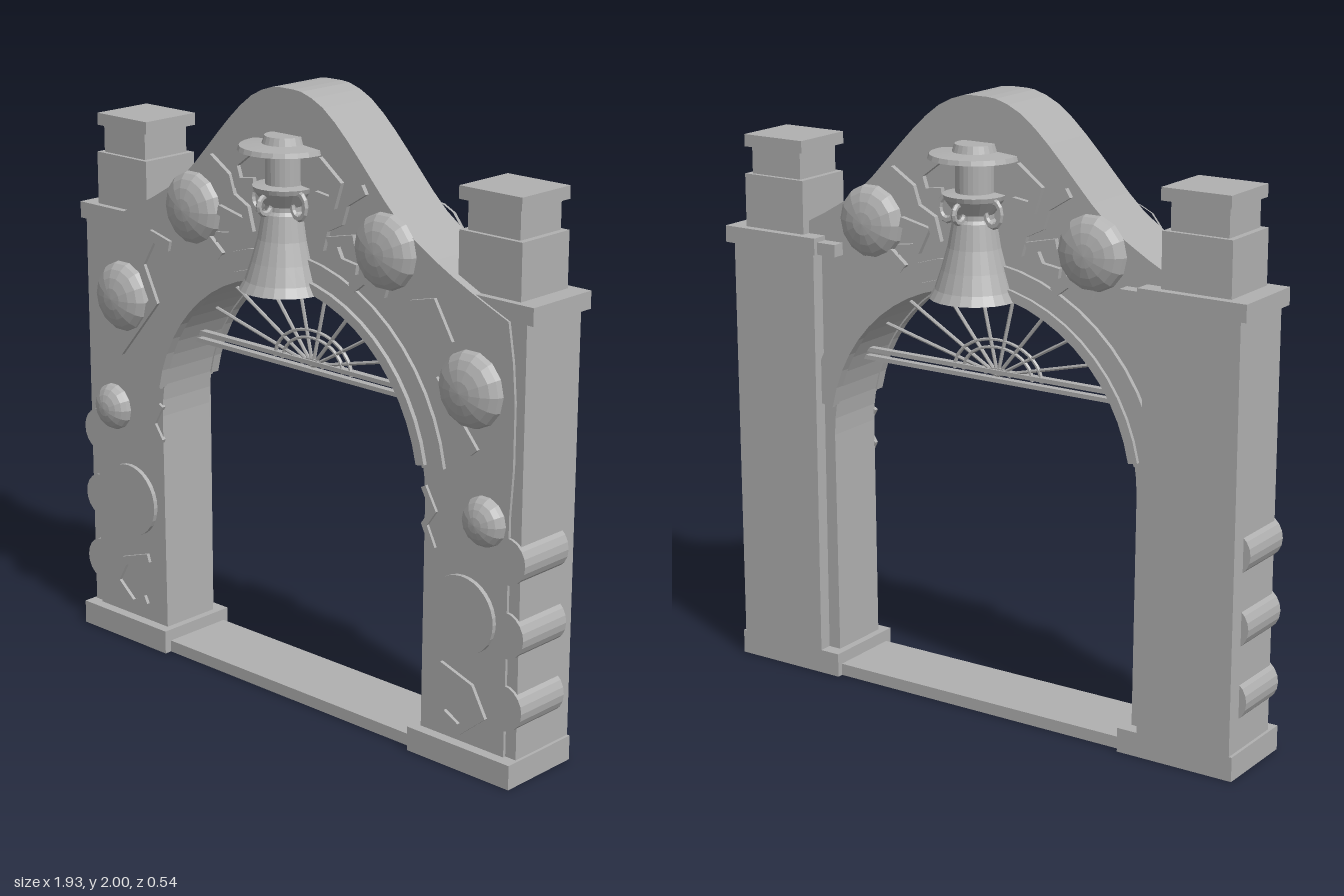
import * as THREE from 'three';

const stone = new THREE.MeshStandardMaterial({ color: 0xb0b0b0, flatShading: true });
stone.name = 'grey stone';

const ARCH_Y = 0.83;
const ARCH_R = 0.575;

export function createModel() {
  const group = new THREE.Group();

  const add = (name, geo, x = 0, y = 0, z = 0) => {
    const m = new THREE.Mesh(geo, stone);
    m.name = name;
    m.position.set(x, y, z);
    group.add(m);
    return m;
  };
  // Box given by its limits
  const box = (name, x0, x1, y0, y1, z0, z1) =>
    add(name, new THREE.BoxGeometry(Math.abs(x1 - x0), y1 - y0, z1 - z0), (x0 + x1) / 2, (y0 + y1) / 2, (z0 + z1) / 2);
  // Flat shape extruded between two depths
  const slab = (name, shape, z0, z1) =>
    add(name, new THREE.ExtrudeGeometry(shape, { depth: z1 - z0, bevelEnabled: false }), 0, 0, z0);
  const toShape = pts => new THREE.Shape(pts.map(p => new THREE.Vector2(p[0], p[1])));
  // Angular scroll: a ribbon of constant width with mitred corners
  const ribbon = (pts, w) => {
    const v = pts.map(p => new THREE.Vector2(p[0], p[1]));
    const left = [], right = [];
    v.forEach((p, i) => {
      const a = p.clone().sub(v[Math.max(i - 1, 0)]).normalize();
      const b = v[Math.min(i + 1, v.length - 1)].clone().sub(p).normalize();
      const t = a.clone().add(b).normalize();
      const n = new THREE.Vector2(-t.y, t.x);
      const ref = i === 0 ? b : a;
      const k = w / 2 / Math.max(0.55, n.dot(new THREE.Vector2(-ref.y, ref.x)));
      left.push(p.clone().addScaledVector(n, k));
      right.unshift(p.clone().addScaledVector(n, -k));
    });
    return new THREE.Shape([...left, ...right]);
  };
  // Arched band between two radii
  const band = (r0, r1, angle) => {
    const s = new THREE.Shape();
    s.absarc(0, ARCH_Y, r1, angle, Math.PI - angle, false);
    s.absarc(0, ARCH_Y, r0, Math.PI - angle, angle, true);
    return s;
  };
  const rod = (name, a, b, r) => {
    const d = b.clone().sub(a);
    const m = add(name, new THREE.CylinderGeometry(r, r, d.length(), 6));
    m.position.copy(a).add(b).multiplyScalar(0.5);
    m.quaternion.setFromUnitVectors(new THREE.Vector3(0, 1, 0), d.normalize());
  };

  // Gable wall with the arched opening
  const crest = new THREE.CatmullRomCurve3([
    [0.88, 1.44], [0.74, 1.5], [0.6, 1.57], [0.46, 1.66], [0.35, 1.77], [0.25, 1.875], [0.15, 1.96], [0.06, 1.997], [0, 2]
  ].map(p => new THREE.Vector3(p[0], p[1], 0))).getPoints(16).map(p => [p.x, p.y]);
  const half = [[0.9, 0.04], [0.9, 0.85], [0.91, 1.0], [0.91, 1.2], [0.9, 1.32], ...crest];
  const arch = [];
  for (let i = 0; i <= 32; i++) {
    const a = Math.PI * (1 - i / 32);
    arch.push([ARCH_R * Math.cos(a), ARCH_Y + ARCH_R * Math.sin(a)]);
  }
  const wall = [...half, ...half.slice(0, -1).reverse().map(p => [-p[0], p[1]]),
    [-0.57, 0.04], ...arch, [0.57, 0.04]];
  slab('gableWall', toShape(wall), -0.1, 0.115);
  box('threshold', -0.56, 0.56, 0, 0.04, -0.125, 0.125);

  // Arch mouldings on both faces
  slab('frontArchMoulding', band(0.58, 0.665, 0.17), 0.11, 0.128);
  slab('frontArchLip', band(0.57, 0.602, 0.19), 0.11, 0.143);
  slab('backArchMoulding', band(0.58, 0.665, 0.17), -0.115, -0.095);
  slab('backArchLip', band(0.57, 0.602, 0.19), -0.128, -0.095);

  for (const s of [-1, 1]) {
    // Pillars and finials
    box('pillar', s * 0.615, s * 0.94, 0.04, 1.46, -0.145, 0.105);
    box('pillarBase', s * 0.545, s * 0.95, 0, 0.08, -0.145, 0.15);
    box('pillarLedge', s * 0.6, s * 0.965, 1.44, 1.495, -0.158, 0.108);
    box('innerLedge', s * 0.53, s * 0.62, 1.44, 1.48, -0.143, -0.09);
    box('finialBlock', s * 0.665, s * 0.9, 1.49, 1.67, -0.13, 0.085);
    box('finialNeck', s * 0.685, s * 0.88, 1.67, 1.76, -0.115, 0.07);
    box('finialCap', s * 0.662, s * 0.895, 1.76, 1.8, -0.135, 0.085);

    // Rounded rolls on the outer sides
    for (const y of [0.24, 0.475, 0.71]) {
      add('sideRoll', new THREE.CylinderGeometry(0.075, 0.075, 0.205, 20), s * 0.89, y, 0.0125).rotation.x = Math.PI / 2;
    }

    // Round bosses
    for (const [x, y, r, d] of [[0.41, 1.565, 0.12, 0.06], [0.75, 1.21, 0.12, 0.065], [0.81, 0.815, 0.08, 0.055]]) {
      const m = add('frontBoss', new THREE.SphereGeometry(r, 14, 5, 0, Math.PI * 2, 0, Math.PI / 2), s * x, y, 0.113);
      m.rotation.x = Math.PI / 2;
      m.scale.y = d / r;
    }
    const boss = add('backBoss', new THREE.SphereGeometry(0.12, 14, 5, 0, Math.PI * 2, 0, Math.PI / 2), s * 0.41, 1.565, -0.098);
    boss.rotation.x = -Math.PI / 2;
    boss.scale.y = 0.5;
    add('pillarMedallion', new THREE.CylinderGeometry(0.125, 0.125, 0.02, 32), s * 0.735, 0.5, 0.12).rotation.x = Math.PI / 2;

    // Angular scrolls
    const flip = pts => pts.map(p => [s * p[0], p[1]]);
    slab('lowerScroll', ribbon(flip([[0.65, 0.31], [0.77, 0.27], [0.815, 0.19], [0.73, 0.12], [0.665, 0.155]]), 0.03), 0.11, 0.127);
    slab('upperScroll', ribbon(flip([[0.52, 1.42], [0.6, 1.44], [0.66, 1.34], [0.6, 1.22], [0.77, 1.02]]), 0.035), 0.11, 0.127);
    slab('jambScroll', ribbon(flip([[0.575, 0.87], [0.615, 0.8], [0.58, 0.75], [0.615, 0.68]]), 0.02), 0.11, 0.125);
    const crestScrolls = [
      [[0.14, 1.8], [0.22, 1.74], [0.2, 1.68], [0.13, 1.69]],
      [[0.33, 1.74], [0.25, 1.69], [0.23, 1.63], [0.17, 1.6], [0.15, 1.53]],
      [[0.29, 1.58], [0.2, 1.56], [0.23, 1.5], [0.3, 1.49]],
      [[0.28, 1.43], [0.33, 1.47], [0.42, 1.44]]
    ];
    for (const pts of crestScrolls) {
      slab('frontCrestScroll', ribbon(flip(pts), 0.032), 0.11, 0.13);
      slab('backCrestScroll', ribbon(flip(pts), 0.032), -0.118, -0.095);
    }
  }

  // Fanlight grille
  for (const y of [1.085, 1.112]) box('grilleBar', -0.535, 0.535, y - 0.007, y + 0.007, -0.012, 0.012);
  const hub = new THREE.Vector3(0, 1.1, 0);
  for (const deg of [14, 30, 51, 77, 103, 129, 150, 166]) {
    const a = deg * Math.PI / 180;
    const c = Math.cos(a), n = Math.sin(a), h = hub.y - ARCH_Y;
    const reach = -h * n + Math.sqrt(h * h * n * n - h * h + 0.58 * 0.58);
    rod('grilleSpoke', hub, new THREE.Vector3(c * reach, hub.y + n * reach, 0), 0.006);
  }
  for (const [r, y] of [[0.165, 0.055], [0.13, 0.02], [0.045, 0]]) {
    add('grilleRing', new THREE.TorusGeometry(r, 0.007, 6, 20, Math.PI), 0, 1.1, 0).scale.y = r > 0.1 ? 0.7 : 0.5;
  }

  // Bells with hats, front and back
  const profile = [[0, 1.38], [0.142, 1.38], [0.125, 1.41], [0.105, 1.47], [0.085, 1.54], [0.07, 1.62],
    [0.062, 1.63], [0.062, 1.645], [0.095, 1.69], [0.1, 1.705], [0.06, 1.71], [0.06, 1.8], [0.1, 1.81], [0.145, 1.815],
    [0.14, 1.83], [0.07, 1.836], [0.062, 1.86], [0, 1.86]];
  for (const s of [-1, 1]) {
    add('bell', new THREE.LatheGeometry(profile.map(p => new THREE.Vector2(p[0], p[1])), 24), 0, 0, s * 0.125);
    for (const x of [-0.085, 0.085]) {
      add('bellHandle', new THREE.TorusGeometry(0.028, 0.009, 6, 12), x, 1.655, s * 0.15).scale.y = 1.35;
    }
    add('bellHandle', new THREE.TorusGeometry(0.028, 0.009, 6, 12), 0, 1.655, s * 0.21).rotation.y = Math.PI / 2;
  }
  return group;
}
